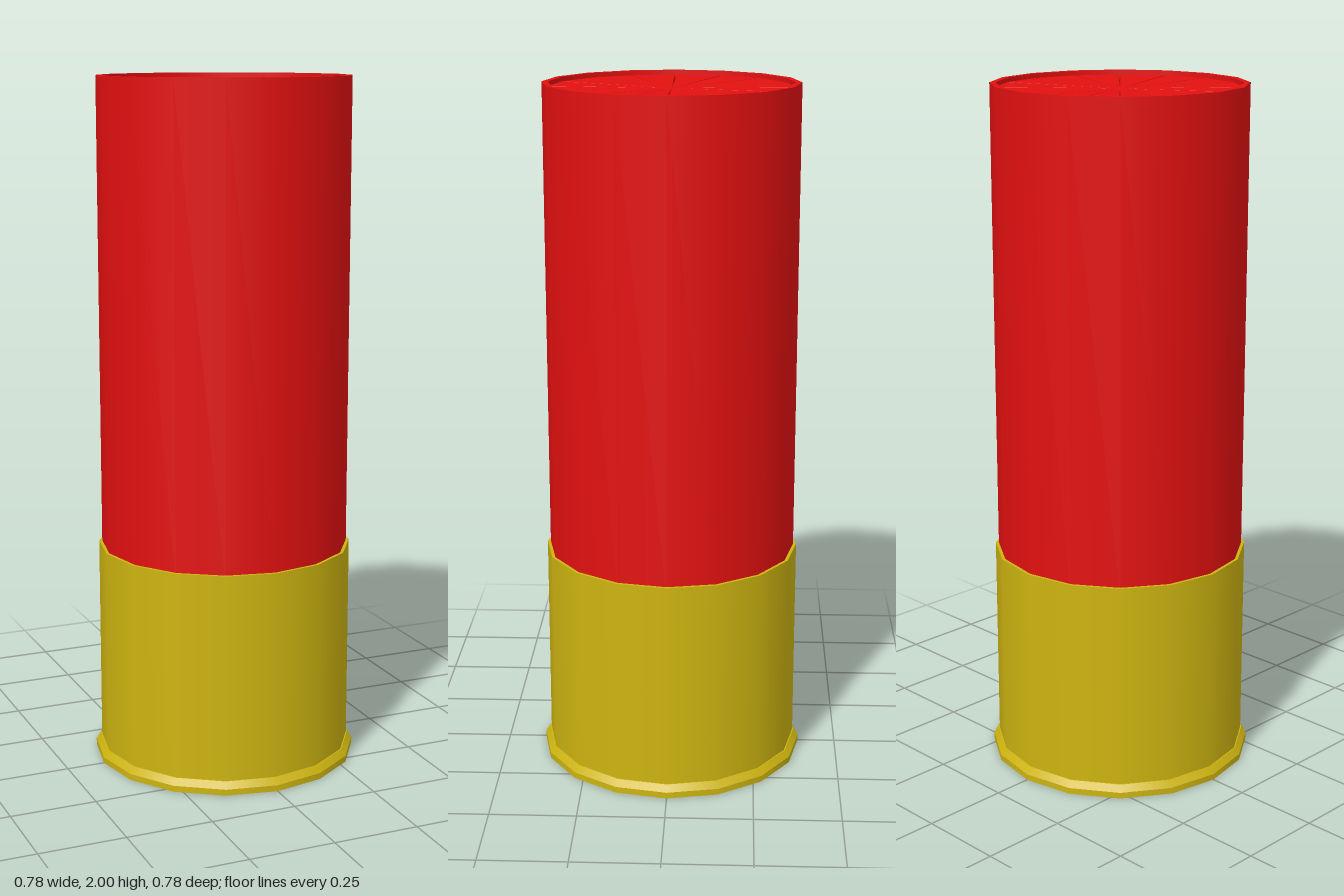
import * as THREE from 'three';
import { mergeGeometries } from 'three/addons/utils/BufferGeometryUtils.js';

const SIDES = 16;

// Revolve each profile segment on its own, so corners stay sharp and sides stay smooth
function turned(profile, sides = SIDES) {
  const parts = [];
  for (let i = 0; i < profile.length - 1; i++) {
    const pts = [profile[i], profile[i + 1]].map(([r, y]) => new THREE.Vector2(r, y));
    parts.push(new THREE.LatheGeometry(pts, sides));
  }
  return mergeGeometries(parts);
}

function polygon(target, radius, sides) {
  const pts = [];
  for (let i = 0; i < sides; i++) {
    const a = (i / sides) * Math.PI * 2;
    pts.push(new THREE.Vector2(Math.cos(a) * radius, Math.sin(a) * radius));
  }
  return target.setFromPoints(pts);
}

// Folded end: wedges separated by narrow V-shaped creases
function crimpGeometry(radius, y, halfWidth, depth) {
  const pos = [];
  const step = (Math.PI * 2) / SIDES;
  const d = halfWidth / radius;
  const outer = (a, h) => [radius * Math.sin(a), h, radius * Math.cos(a)];
  const centre = [0, y - 0.004, 0];
  for (let i = 0; i < SIDES; i++) {
    const a = i * step;
    const before = outer(a - d, y), bottom = outer(a, y - depth), after = outer(a + d, y);
    pos.push(...centre, ...before, ...bottom);
    pos.push(...centre, ...bottom, ...after);
    pos.push(...centre, ...after, ...outer(a + step - d, y));
  }
  const g = new THREE.BufferGeometry();
  g.setAttribute('position', new THREE.Float32BufferAttribute(pos, 3));
  g.computeVertexNormals();
  return g;
}

export function createModel() {
  const group = new THREE.Group();
  const red = new THREE.MeshStandardMaterial({ color: 0xe31010 });
  red.name = 'red plastic';
  const brass = new THREE.MeshStandardMaterial({ color: 0xcdb410 });
  brass.name = 'brass';

  const add = (name, geometry, material) => {
    const mesh = new THREE.Mesh(geometry, material);
    mesh.name = name;
    group.add(mesh);
  };

  // Plastic tube with a thin lip around the folded end
  add('tube', turned([[0.362, 0.6], [0.362, 2], [0.345, 2], [0.345, 1.965]]), red);
  add('crimp', crimpGeometry(0.345, 1.987, 0.004, 0.016), red);

  // Metal cup and its flared rim
  add('metalCup', turned([[0.371, 0.03], [0.371, 0.643], [0.36, 0.643]]), brass);
  add('rim', turned([[0.388, 0], [0.388, 0.018], [0.374, 0.037], [0.369, 0.037]]), brass);

  // Base plate with an eight-sided recess
  const plate = polygon(new THREE.Shape(), 0.388, SIDES);
  plate.holes.push(polygon(new THREE.Path(), 0.117, 8));
  add('basePlate', new THREE.ShapeGeometry(plate).rotateX(Math.PI / 2), brass);
  add('primer', turned([[0, 0.016], [0.117, 0.016], [0.117, 0]], 8), brass);

  return group;
}
